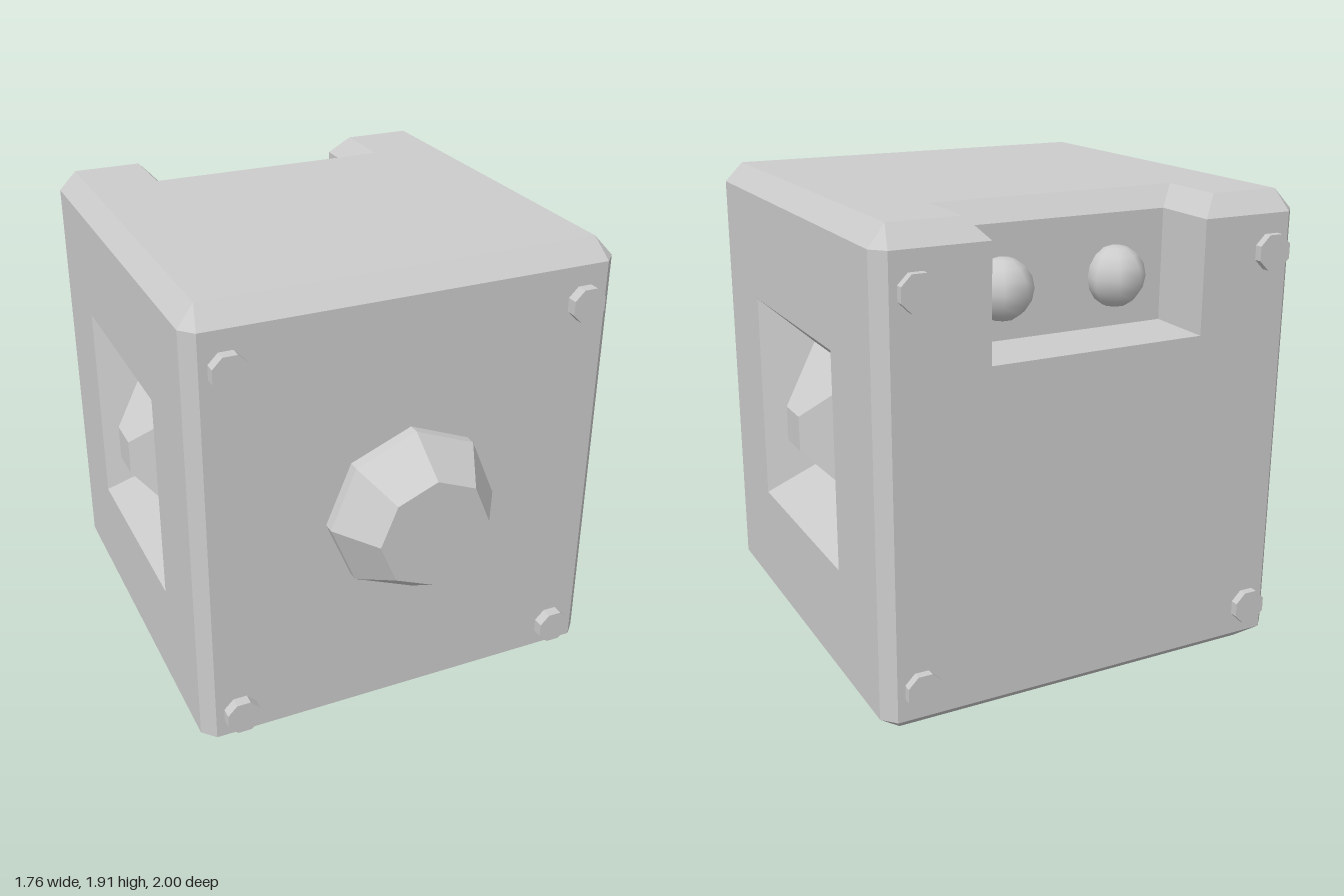
import * as THREE from 'three';

const flat = new THREE.MeshStandardMaterial({ color: 0xcccccc, flatShading: true });
const smooth = new THREE.MeshStandardMaterial({ color: 0xcccccc });

// Collects flat quads (corners counter-clockwise from outside) into one mesh.
function quadMesh(name, build) {
  const pos = [];
  const tri = (a, b, c) => {
    const n = b.clone().sub(a).cross(c.clone().sub(a));
    if (n.length() > 1e-7) for (const p of [a, b, c]) pos.push(p.x, p.y, p.z);
  };
  const quad = (a, b, c, d) => { tri(a, b, c); tri(a, c, d); };
  const loft = (A, B, skip = () => false) => A.forEach((a, i) => {
    const j = (i + 1) % A.length;
    if (!skip(a, A[j])) quad(a, A[j], B[j], B[i]);
  });
  build(quad, loft);
  const g = new THREE.BufferGeometry();
  g.setAttribute('position', new THREE.Float32BufferAttribute(pos, 3));
  g.computeVertexNormals();
  const m = new THREE.Mesh(g, flat);
  m.name = name;
  return m;
}

const X = 0.87, XC = 0.82;                                   // half width, chamfer start
const ZF = 0.775, ZFC = 0.722, ZB = -0.968, ZBC = -0.915;    // front and back planes
const Y1 = 0.08, YN = 1.39, Y2 = 1.83, Y3 = 1.91;            // bevel, notch floor, bevel, top
const NX = 0.44, NZ = -0.69;                                 // notch half width and back wall

const level = (pts, y) => pts.map(([x, z]) => new THREE.Vector3(x, y, z));
// Mirrors the +x half of a plan outline (front to back) onto the -x side.
const mirrored = (half) => [...half, ...half.slice().reverse().map(([x, z]) => [-x, z])];

function casing() {
  const half = [[XC, ZF], [X, ZFC], [X, ZBC], [XC, ZB]];
  const plain = mirrored(half);
  const notched = mirrored([...half, [NX, ZB], [NX, NZ]]);
  const foot = mirrored([[0.775, 0.68], [0.775, 0.68], [0.775, -0.87], [0.775, -0.87]]);
  const rim = mirrored([[0.8, 0.7], [0.8, 0.7], [0.8, -0.9], [0.8, -0.9], [0.515, -0.9], [0.515, -0.62]]);
  const isSide = (a, b) => Math.abs(a.x) === X && a.x === b.x;
  return quadMesh('casing', (quad, loft) => {
    loft(level(foot, 0), level(plain, Y1));
    loft(level(plain, Y1), level(plain, YN), isSide);
    loft(level(notched, YN), level(notched, Y2), isSide);
    loft(level(notched, Y2), level(rim, Y3));
    const slab = (x0, x1, z0, z1, y) => quad(...level([[x0, z1], [x1, z1], [x1, z0], [x0, z0]], y));
    slab(-0.8, 0.8, -0.62, 0.7, Y3);
    slab(-0.8, -0.515, -0.9, -0.62, Y3);
    slab(0.515, 0.8, -0.9, -0.62, Y3);
    slab(-NX, NX, ZB, NZ, YN);
    quad(...level([[-0.775, -0.87], [0.775, -0.87], [0.775, 0.68], [-0.775, 0.68]], 0));
  });
}

// Side wall with a sloped square recess and a blunt pyramid rising from it.
function sidePanel(s) {
  const cz = -0.094, cy = 0.953;
  const ring = (x, zf, zb, y0, y1) => {
    const r = [[zf, y0], [zb, y0], [zb, y1], [zf, y1]].map(([z, y]) => new THREE.Vector3(s * x, y, z));
    return s > 0 ? r : r.reverse();
  };
  const square = (x, h) => ring(x, cz + h, cz - h, cy - h, cy + h);
  const rings = [ring(X, ZFC, ZBC, Y1, Y2), square(X, 0.437), square(X - 0.185, 0.269), square(0.882, 0.072)];
  return quadMesh(s > 0 ? 'leftPanel' : 'rightPanel', (quad, loft) => {
    for (let i = 0; i < 3; i++) loft(rings[i], rings[i + 1]);
    quad(...rings[3]);
  });
}

export function createModel() {
  const model = new THREE.Group();
  model.name = 'box';
  const add = (name, geo, mat, x, y, z) => {
    const m = new THREE.Mesh(geo, mat);
    m.name = name;
    m.position.set(x, y, z);
    model.add(m);
  };

  model.add(casing(), sidePanel(1), sidePanel(-1));

  // Octagonal front knob: short collar and tapered head
  add('knobCollar', new THREE.CylinderGeometry(0.348, 0.348, 0.06, 8).rotateX(Math.PI / 2), flat, 0, 0.953, 0.79);
  add('knobHead', new THREE.CylinderGeometry(0.228, 0.348, 0.18, 8).rotateX(Math.PI / 2), flat, 0, 0.953, 0.91);

  // Corner bolts on front and back
  const bolt = new THREE.CylinderGeometry(0.073, 0.073, 0.08, 8).rotateY(Math.PI / 8).rotateX(Math.PI / 2);
  for (const [x, y] of [[-0.718, 1.68], [0.722, 1.68], [-0.718, 0.18], [0.708, 0.18]])
    add('frontBolt', bolt, flat, x, y, 0.78);
  for (const [x, y] of [[-0.742, 1.685], [0.722, 1.685], [-0.742, 0.2], [0.722, 0.2]])
    add('backBolt', bolt, flat, x, y, -0.96);

  // Two round studs in the notch
  const stud = new THREE.SphereGeometry(0.12, 8, 8).rotateY(Math.PI / 8);
  for (const x of [-0.22, 0.264]) add('stud', stud, smooth, x, 1.59, -0.704);

  return model;
}
